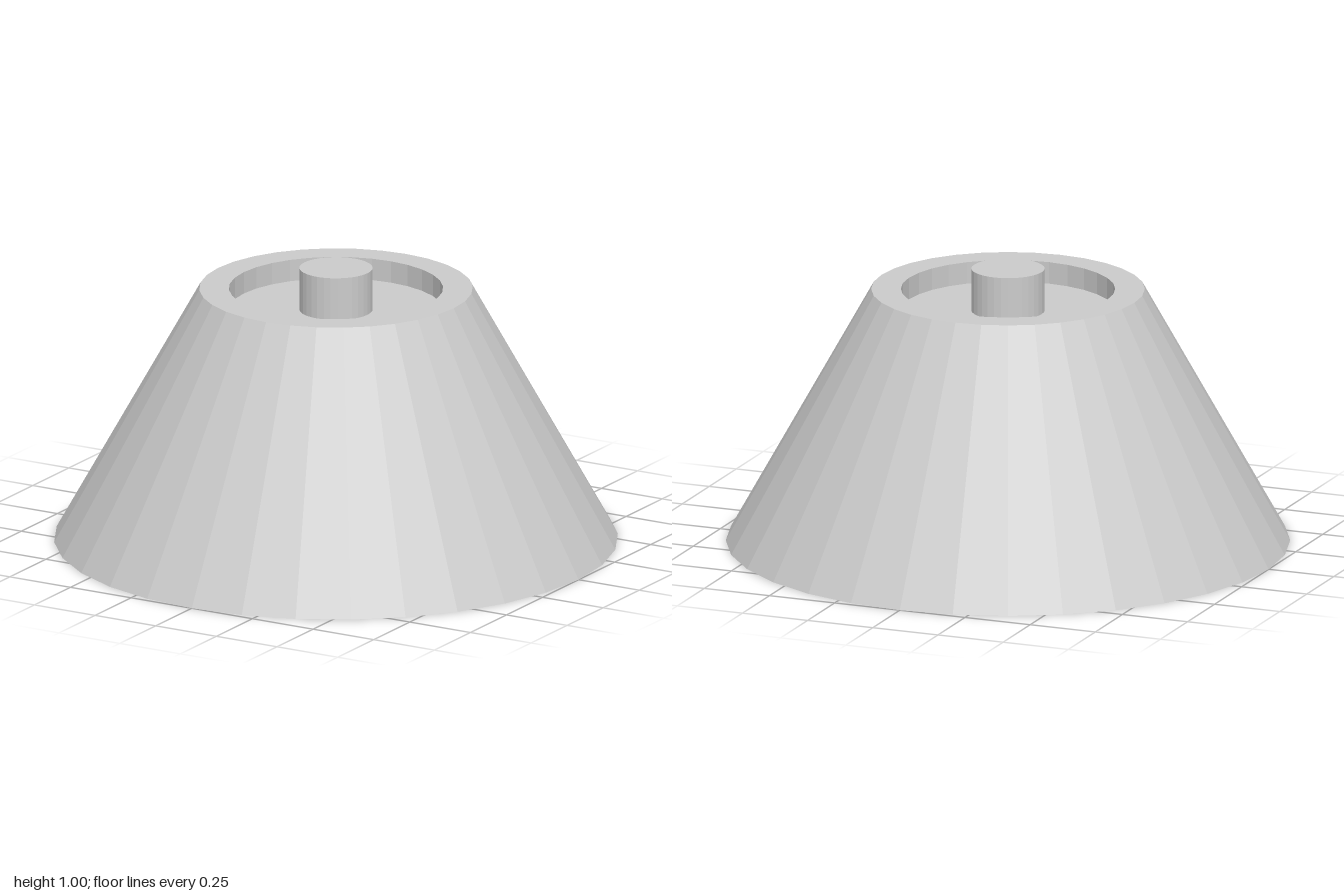
import * as THREE from 'three';

export function createModel() {
  const group = new THREE.Group();
  const material = new THREE.MeshStandardMaterial({ color: 0xcccccc, flatShading: true });

  const add = (name, geometry, y = 0) => {
    const mesh = new THREE.Mesh(geometry, material);
    mesh.name = name;
    mesh.position.y = y;
    group.add(mesh);
  };

  // Hollow conical shade: cavity ceiling, inner wall, base ring, outer wall, rim, recessed top
  const profile = [
    [0, 0.77], [0.42, 0.77], [0.847, 0], [1, 0],
    [0.485, 0.925], [0.38, 0.925], [0.38, 0.846], [0, 0.846],
  ].map(([r, y]) => new THREE.Vector2(r, y));
  add('shade', new THREE.LatheGeometry(profile, 32));

  // Post through the recessed top, reaching down to the bulb
  const postBottom = 0.6, postTop = 1;
  add('post', new THREE.CylinderGeometry(0.13, 0.13, postTop - postBottom, 32), (postTop + postBottom) / 2);

  // Round bulb hanging inside the shade
  add('bulb', new THREE.SphereGeometry(0.25, 32, 16), 0.465);

  return group;
}
